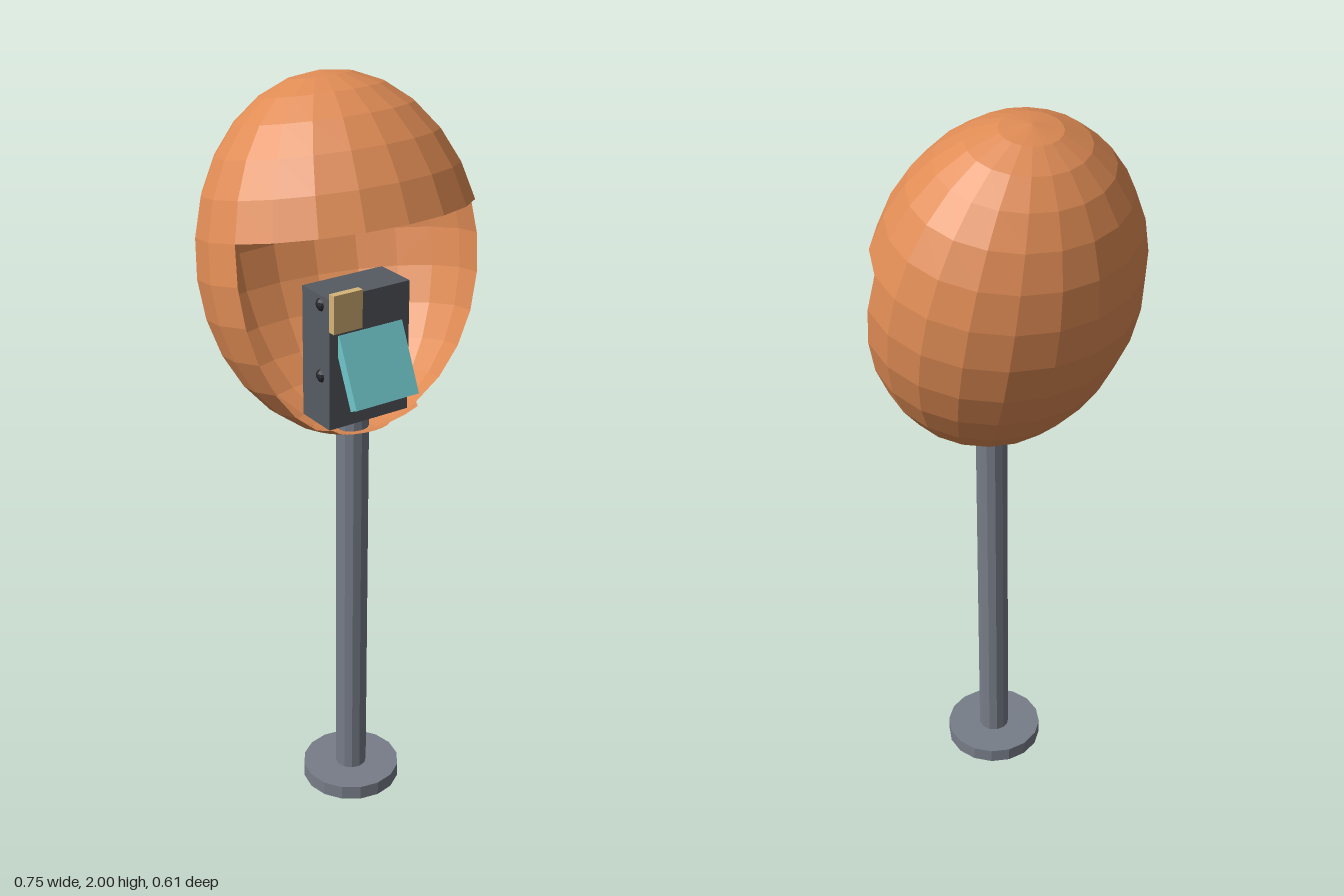
import * as THREE from 'three';

const mat = (color, extra = {}) => {
  const m = new THREE.MeshStandardMaterial({ color, ...extra });
  m.flatShading = true;
  return m;
};

export function createModel() {
  const model = new THREE.Group();
  model.name = 'phoneBooth';
  const orange = mat(0xe08c55, { side: THREE.DoubleSide });
  const steel = mat(0x777d88);
  const dark = mat(0x565b63);
  const black = mat(0x24262a);
  const blue = mat(0x6fc7cc);
  const tan = mat(0xd6b478);

  const add = (name, geometry, material, x, y, z, parent = model) => {
    const mesh = new THREE.Mesh(geometry, material);
    mesh.name = name;
    mesh.position.set(x, y, z);
    parent.add(mesh);
    return mesh;
  };

  // Round foot and post
  const postZ = 0.077;
  add('base', new THREE.CylinderGeometry(0.135, 0.135, 0.04, 16), steel, 0, 0.02, postZ);
  add('post', new THREE.CylinderGeometry(0.043, 0.043, 1.12, 12), steel, 0, 0.59, postZ);

  // Egg-shaped hood, leaning back, made of 14 rows of 20 facets.
  // Each band runs from row a to row b, with some facets left open on each side of the front.
  const hood = new THREE.Group();
  hood.name = 'hood';
  hood.position.set(0, 1.55, 0.02);
  hood.rotation.x = -0.2;
  model.add(hood);
  const row = Math.PI / 14, facet = Math.PI / 10;
  const bands = [
    ['hoodTop', 0, 6, 0],
    ['hoodBack', 6, 12, 4],
    ['hoodLowerBack', 12, 13, 3],
    ['hoodBottom', 13, 14, 0],
  ];
  for (const [name, a, b, open] of bands) {
    const shell = new THREE.SphereGeometry(1, 20 - 2 * open, b - a,
      Math.PI / 2 + open * facet, 2 * Math.PI - 2 * open * facet, a * row, (b - a) * row);
    shell.scale(0.373, 0.455, 0.32);
    add(name, shell, orange, 0, 0, 0, hood);
  }

  // Telephone body with sloping panel and small plate
  add('phoneBody', new THREE.BoxGeometry(0.24, 0.35, 0.12), dark, 0, 1.325, 0.09);
  const panel = add('keypadPanel', new THREE.BoxGeometry(0.19, 0.19, 0.028), blue, 0, 1.31, 0.181);
  panel.rotation.x = -0.42;
  add('cardPlate', new THREE.BoxGeometry(0.085, 0.1, 0.02), tan, -0.078, 1.465, 0.16);

  // Handset tucked against the side of the body
  const handset = new THREE.Group();
  handset.name = 'handset';
  handset.position.set(-0.11, 1.38, 0.11);
  model.add(handset);
  add('handsetGrip', new THREE.CylinderGeometry(0.01, 0.01, 0.19, 8), black, 0, 0, 0, handset);
  for (const s of [-1, 1]) {
    add(s > 0 ? 'earpiece' : 'mouthpiece', new THREE.SphereGeometry(0.02, 10, 8), black, 0, 0.095 * s, 0, handset);
  }
  return model;
}
